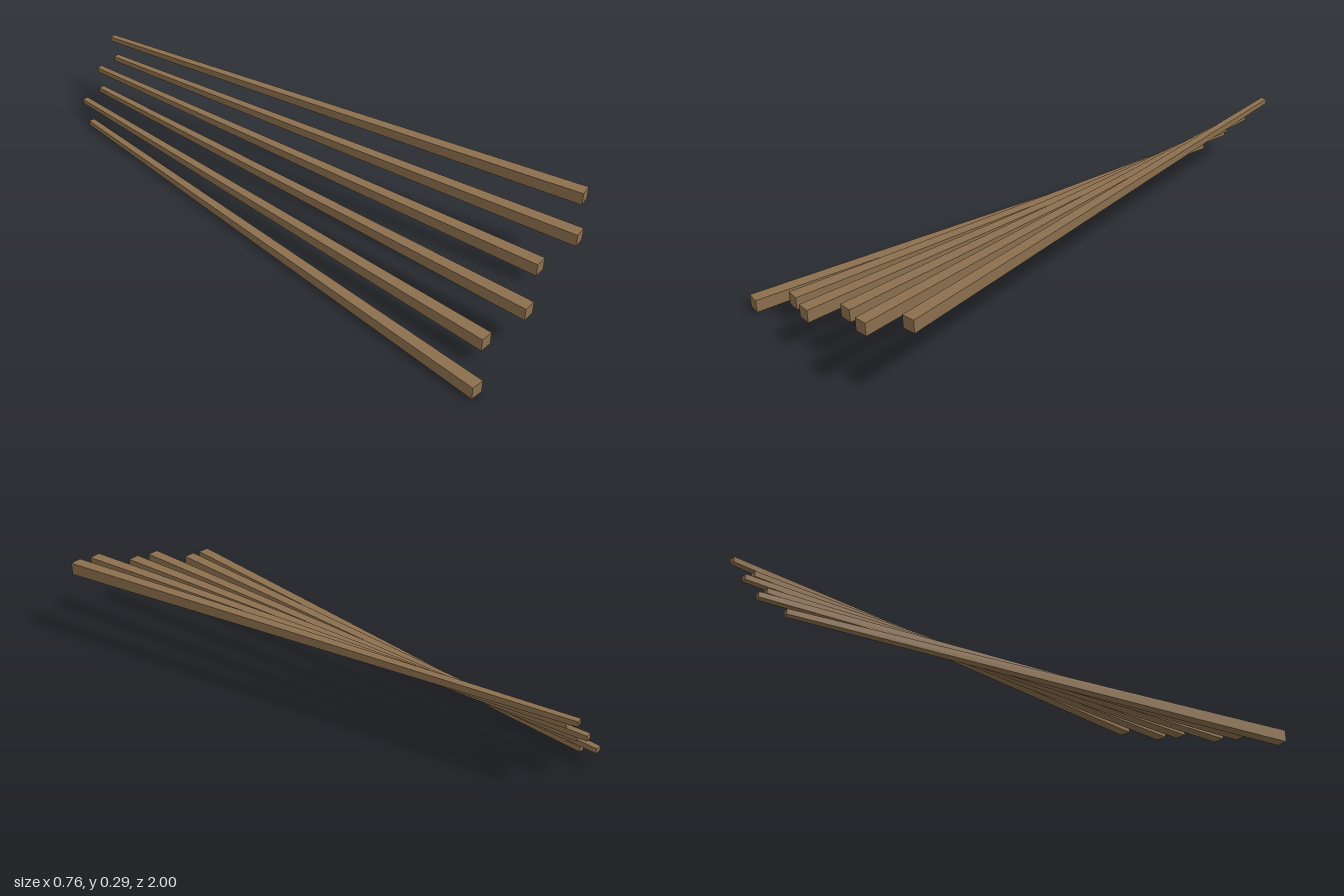
import * as THREE from 'three';

// Tapered square rod along z: the thick end faces +z, the thin end -z
function taperedRod(length) {
  const geo = new THREE.BoxGeometry(0.044, 0.0445, length);
  const p = geo.attributes.position;
  for (let i = 0; i < p.count; i++) {
    if (p.getZ(i) < 0) p.setXY(i, p.getX(i) * 0.5, p.getY(i) * 0.4);
  }
  geo.computeVertexNormals();
  return geo;
}

export function createModel() {
  const group = new THREE.Group();
  const material = new THREE.MeshStandardMaterial({ color: 0x8b6f4e, flatShading: true });

  // front x, front z, back x, back z for each rod, lowest first
  const rods = [
    [-0.36, 0.997, -0.127, -0.911],
    [-0.221, 0.933, -0.087, -0.985],
    [-0.074, 0.983, -0.04, -0.938],
    [0.072, 0.928, 0.005, -0.992],
    [0.219, 0.973, 0.051, -0.942],
    [0.358, 0.907, 0.09, -0.998],
  ];

  // Fan of rods, each one stepped higher than the last
  rods.forEach(([fx, fz, bx, bz], i) => {
    const y = 0.0225 + i * 0.0485;
    const front = new THREE.Vector3(fx, y, fz);
    const back = new THREE.Vector3(bx, y - 0.007, bz);
    const rod = new THREE.Mesh(taperedRod(front.distanceTo(back)), material);
    rod.name = `rod${i + 1}`;
    rod.position.copy(front).add(back).multiplyScalar(0.5);
    rod.lookAt(front);
    group.add(rod);
  });

  return group;
}
